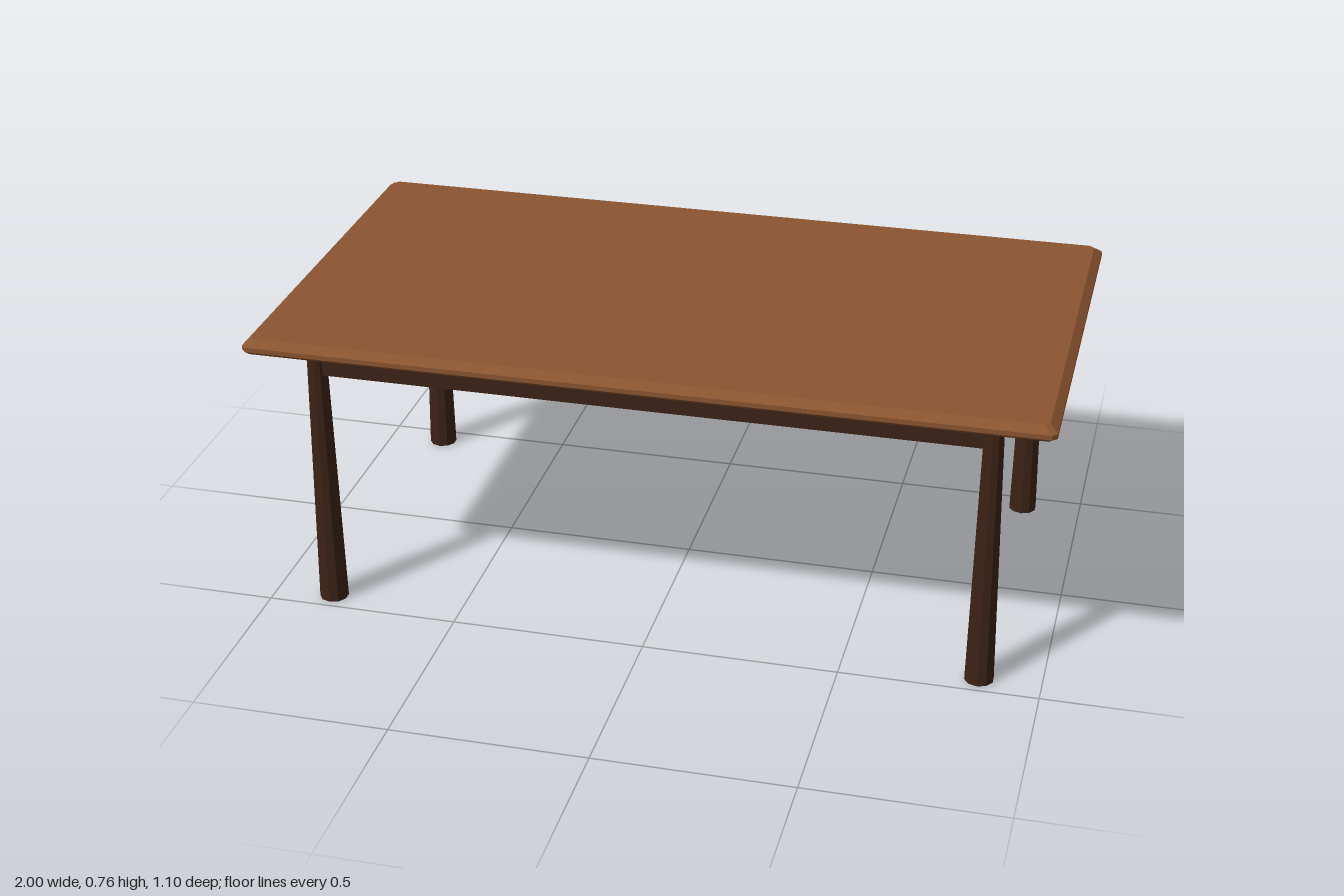
import * as THREE from 'three';

const topMat = new THREE.MeshStandardMaterial({ color: 0x8b5530, flatShading: true });
const baseMat = new THREE.MeshStandardMaterial({ color: 0x3d2317, flatShading: true });

// Stack of corner-cut rectangles: each row is [inset, y]
function slab(halfX, halfZ, cut, rows) {
  const pos = [], index = [];
  for (const [inset, y] of rows) {
    const x = halfX - inset, z = halfZ - inset;
    const loop = [
      [x, z - cut], [x, -z + cut], [x - cut, -z], [-x + cut, -z],
      [-x, -z + cut], [-x, z - cut], [-x + cut, z], [x - cut, z],
    ];
    for (const [px, pz] of loop) pos.push(px, y, pz);
  }
  for (let r = 0; r < rows.length - 1; r++) {
    for (let i = 0; i < 8; i++) {
      const a = r * 8 + i, b = r * 8 + (i + 1) % 8;
      index.push(a, b, b + 8, a, b + 8, a + 8);
    }
  }
  // Flat caps below and above
  const t = (rows.length - 1) * 8;
  for (let i = 1; i < 7; i++) index.push(0, i + 1, i, t, t + i, t + i + 1);
  const geo = new THREE.BufferGeometry();
  geo.setAttribute('position', new THREE.Float32BufferAttribute(pos, 3));
  geo.setIndex(index);
  const flat = geo.toNonIndexed();
  flat.computeVertexNormals();
  return flat;
}

export function createModel() {
  const group = new THREE.Group();
  const add = (name, geo, mat, x = 0, y = 0, z = 0) => {
    const mesh = new THREE.Mesh(geo, mat);
    mesh.name = name;
    mesh.position.set(x, y, z);
    group.add(mesh);
  };

  const under = 0.728, legX = 0.845, legZ = 0.445;
  const apronH = 0.08, apronT = 0.03;

  // Table top with bevelled edge
  add('tableTop', slab(1, 0.55, 0.012, [
    [0.008, under], [0, 0.736], [0, 0.748], [0.02, 0.765],
  ]), topMat);

  // Legs, wider at the foot
  const leg = new THREE.CylinderGeometry(0.024, 0.037, under, 10);
  for (const sx of [-1, 1]) for (const sz of [-1, 1]) {
    add(`${sz > 0 ? 'front' : 'back'}${sx > 0 ? 'Left' : 'Right'}Leg`, leg, baseMat, sx * legX, under / 2, sz * legZ);
  }

  // Apron rails between the legs
  const railY = under - apronH / 2;
  const longRail = new THREE.BoxGeometry(legX * 2 - 0.03, apronH, apronT);
  const shortRail = new THREE.BoxGeometry(apronT, apronH, legZ * 2 - 0.03);
  for (const s of [-1, 1]) {
    add(s > 0 ? 'frontApron' : 'backApron', longRail, baseMat, 0, railY, s * legZ);
    add(s > 0 ? 'leftApron' : 'rightApron', shortRail, baseMat, s * legX, railY, 0);
  }
  return group;
}
